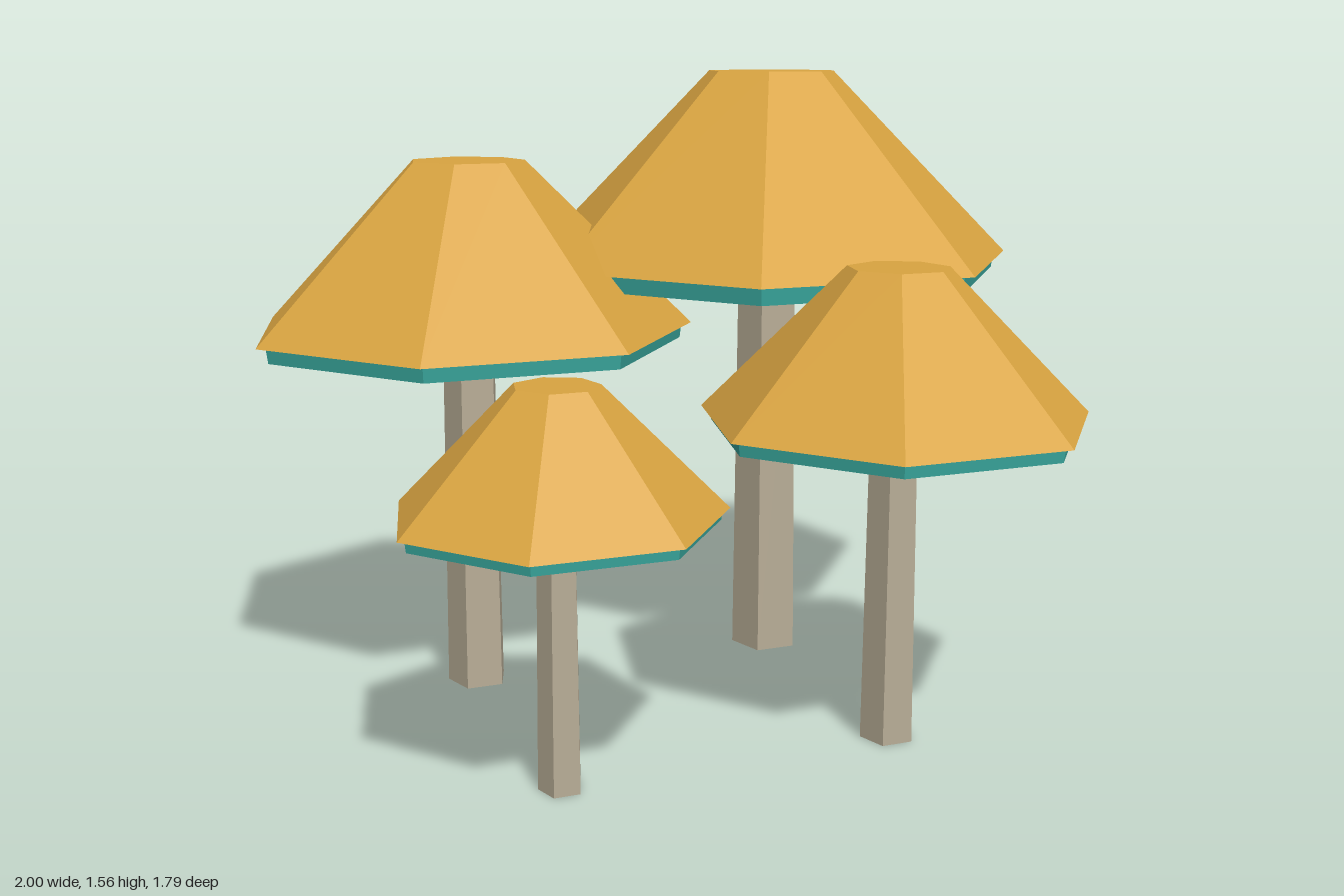
import * as THREE from 'three';

const mat = (name, color) => {
  const m = new THREE.MeshStandardMaterial({ color, flatShading: true });
  m.name = name;
  return m;
};

export function createModel() {
  const gold = mat('golden cap', 0xd9a441);
  const teal = mat('teal gills', 0x3aa99f);
  const stone = mat('pale stem', 0xb8ad96);

  // Tapered prism from y0 to y1 with a corner pointing to the back
  const prism = (name, rTop, rBottom, y0, y1, sides, material) => {
    const geo = new THREE.CylinderGeometry(rTop, rBottom, y1 - y0, sides);
    geo.rotateY(Math.PI);
    geo.translate(0, (y0 + y1) / 2, 0);
    const mesh = new THREE.Mesh(geo, material);
    mesh.name = name;
    return mesh;
  };

  // One full-size mushroom: five-sided stem, seven-sided gills and cap
  const mushroom = (name) => {
    const g = new THREE.Group();
    g.name = name;
    g.add(
      prism('stem', 0.08, 0.09, 0, 1.05, 5, stone),
      prism('gills', 0.621, 0.615, 1.034, 1.08, 7, teal),
      prism('cap', 0.167, 0.649, 1.078, 1.56, 7, gold),
    );
    return g;
  };

  // name, x, z, width scale, height scale
  const cluster = [
    ['largeMushroom', 0.363, -0.25, 1, 1],
    ['mediumMushroom', -0.455, -0.25, 0.863, 0.864],
    ['smallMushroom', 0.363, 0.47, 0.721, 0.726],
    ['tinyMushroom', -0.455, 0.473, 0.583, 0.589],
  ];

  const model = new THREE.Group();
  model.name = 'mushroomCluster';
  for (const [name, x, z, s, sy] of cluster) {
    const m = mushroom(name);
    m.position.set(x, 0, z);
    m.scale.set(s, sy, s);
    model.add(m);
  }
  return model;
}
